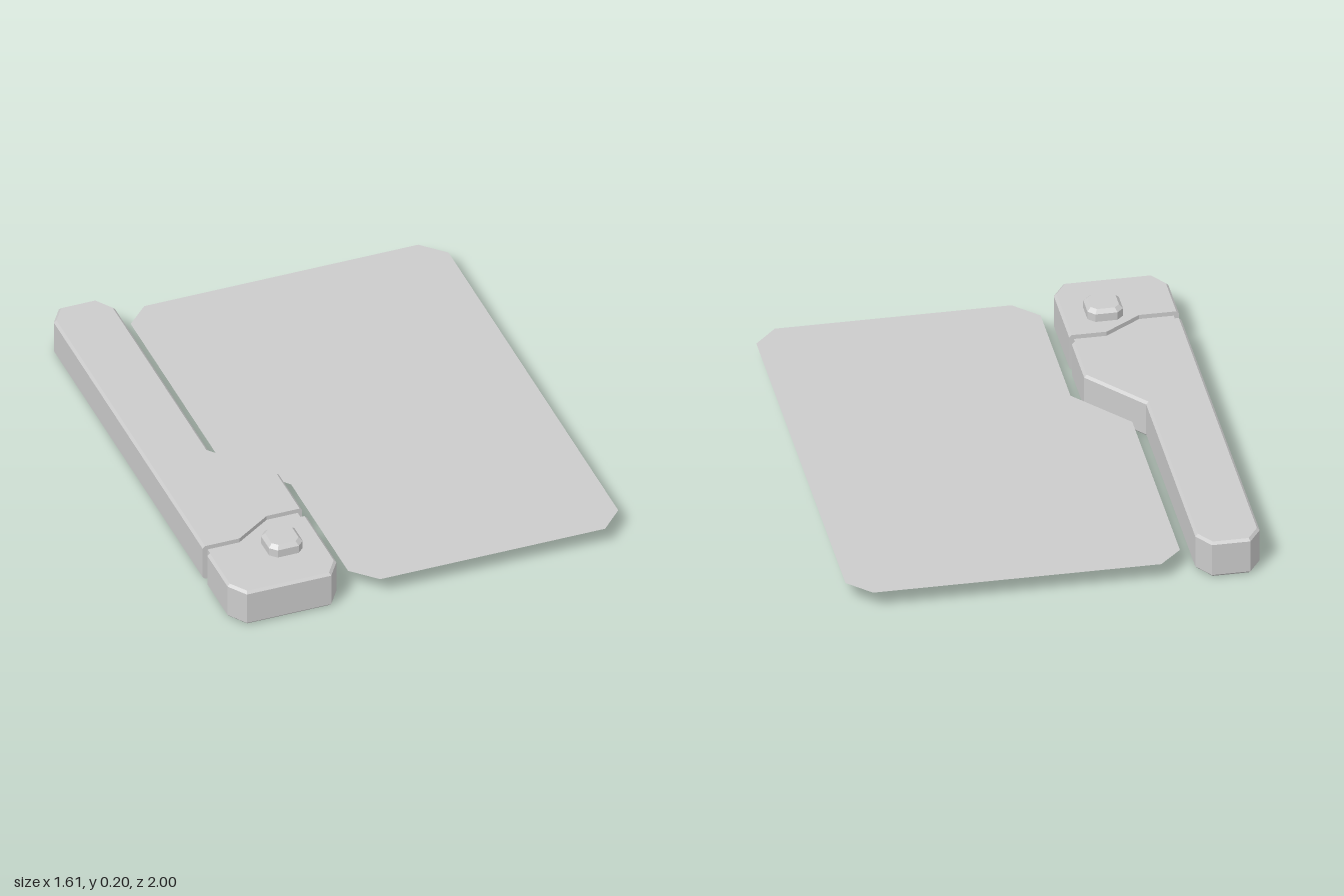
import * as THREE from 'three';

// Moves each edge of an outline (x, z) inward by its own distance.
function inset(pts, dist) {
  const n = pts.length;
  const lines = pts.map((p, i) => {
    const q = pts[(i + 1) % n];
    const d = new THREE.Vector2(q[0] - p[0], q[1] - p[1]).normalize();
    return { p: [p[0] - d.y * dist[i], p[1] + d.x * dist[i]], d };
  });
  return lines.map((b, i) => {
    const a = lines[(i + n - 1) % n];
    const t = ((b.p[0] - a.p[0]) * b.d.y - (b.p[1] - a.p[1]) * b.d.x) / a.d.cross(b.d);
    return [a.p[0] + a.d.x * t, a.p[1] + a.d.y * t];
  });
}

// Faceted prism made of stacked rings [outline, y], closed with caps.
function stack(rings) {
  const pos = [];
  const n = rings[0][0].length;
  const put = ([pts, y], i) => pos.push(pts[i % n][0], y, pts[i % n][1]);
  for (let r = 0; r < rings.length - 1; r++) {
    const a = rings[r], b = rings[r + 1];
    for (let i = 0; i < n; i++) {
      put(a, i); put(b, i); put(b, i + 1);
      put(a, i); put(b, i + 1); put(a, i + 1);
    }
  }
  const cap = (ring, flip) => {
    const contour = ring[0].map(([x, z]) => new THREE.Vector2(x, z));
    for (const f of THREE.ShapeUtils.triangulateShape(contour, [])) {
      (flip ? [f[0], f[2], f[1]] : f).forEach((i) => put(ring, i));
    }
  };
  cap(rings[0], false);
  cap(rings[rings.length - 1], true);
  const g = new THREE.BufferGeometry();
  g.setAttribute('position', new THREE.Float32BufferAttribute(pos, 3));
  g.computeVertexNormals();
  return g;
}

// Case block with bevelled rims; edges listed in plain stay unbevelled.
function block(pts, y0, y1, bevel, plain) {
  const inner = inset(pts, pts.map((_, i) => (plain.includes(i) ? 0 : bevel)));
  return stack([[inner, y0], [pts, y0 + bevel], [pts, y1 - bevel], [inner, y1]]);
}

export function createModel() {
  const group = new THREE.Group();
  const grey = new THREE.MeshStandardMaterial({ color: 0xcccccc, flatShading: true });
  const add = (name, geometry, material = grey) => {
    const mesh = new THREE.Mesh(geometry, material);
    mesh.name = name;
    group.add(mesh);
  };
  const H = 0.153;

  // Long case with its angled step
  add('mainCase', block([
    [-0.805, -0.925], [-0.755, -1], [-0.605, -1], [-0.555, -0.925], [-0.555, 0.07],
    [-0.36, 0.31], [-0.36, 0.56], [-0.505, 0.56], [-0.655, 0.66], [-0.805, 0.66],
  ], 0, H, 0.01, [6, 7, 8]));

  // Front end piece beyond the seam
  add('endCase', block([
    [-0.805, 0.71], [-0.65, 0.71], [-0.505, 0.612], [-0.36, 0.612],
    [-0.36, 0.925], [-0.41, 1], [-0.755, 1], [-0.805, 0.925],
  ], 0, H, 0.01, [0, 1, 2]));

  // Recessed core visible in the seam
  const core = [
    [-0.785, 0.65], [-0.655, 0.65], [-0.505, 0.55], [-0.378, 0.55],
    [-0.378, 0.62], [-0.5, 0.62], [-0.645, 0.72], [-0.785, 0.72],
  ];
  add('seamCore', stack([[core, 0.018], [core, H - 0.018]]));

  // Button with cut corners and a bevelled top
  const octagon = (r, c) => [
    [-r, -r + c], [-r + c, -r], [r - c, -r], [r, -r + c],
    [r, r - c], [r - c, r], [-r + c, r], [-r, r - c],
  ].map(([x, z]) => [x - 0.52, z + 0.76]);
  add('button', stack([
    [octagon(0.069, 0.026), H - 0.01], [octagon(0.069, 0.026), 0.186], [octagon(0.055, 0.02), 0.201],
  ]));

  // Thin screen sheet following the step of the case
  const sheet = new THREE.Shape([
    [-0.41, -0.99], [0.71, -0.99], [0.8, -0.9], [0.8, 0.905], [0.71, 1],
    [-0.21, 1], [-0.305, 0.905], [-0.305, 0.3], [-0.5, 0.065], [-0.5, -0.9],
  ].map(([x, z]) => new THREE.Vector2(x, -z)));
  const sheetMaterial = grey.clone();
  sheetMaterial.side = THREE.DoubleSide;
  add('screenSheet', new THREE.ShapeGeometry(sheet).rotateX(-Math.PI / 2).translate(0, 0.075, 0), sheetMaterial);

  return group;
}
